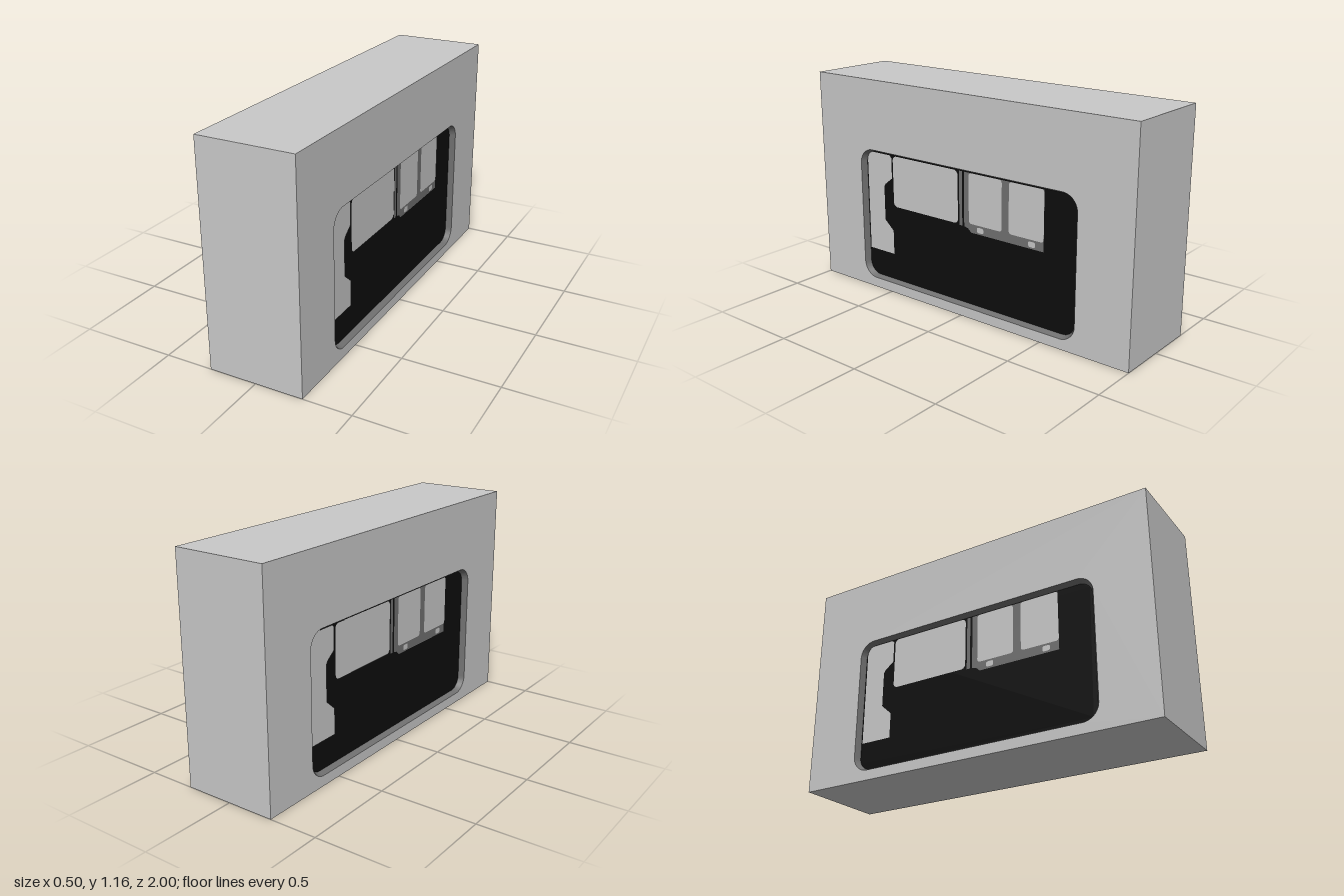
import * as THREE from 'three';
import { toCreasedNormals } from 'three/addons/utils/BufferGeometryUtils.js';

const material = (name, color) => {
  const m = new THREE.MeshStandardMaterial({ color });
  m.name = name;
  return m;
};

// Rounded rectangle, counter-clockwise
function roundRect(x0, y0, x1, y1, r, Type = THREE.Shape) {
  const s = new Type();
  s.absarc(x1 - r, y0 + r, r, -Math.PI / 2, 0);
  s.absarc(x1 - r, y1 - r, r, 0, Math.PI / 2);
  s.absarc(x0 + r, y1 - r, r, Math.PI / 2, Math.PI);
  s.absarc(x0 + r, y0 + r, r, Math.PI, Math.PI * 1.5);
  s.closePath();
  return s;
}

const polygon = (pts) => new THREE.Shape(pts.map(([x, y]) => new THREE.Vector2(x, y)));

// Band of quads joining two matching outlines at depths za and zb
function band(a, za, b, zb) {
  const pos = [];
  for (let i = 0; i < a.length; i++) {
    const j = (i + 1) % a.length;
    const p = [a[i].x, a[i].y, za], q = [a[j].x, a[j].y, za];
    const r = [b[j].x, b[j].y, zb], s = [b[i].x, b[i].y, zb];
    pos.push(...p, ...q, ...r, ...p, ...r, ...s);
  }
  const g = new THREE.BufferGeometry();
  g.setAttribute('position', new THREE.Float32BufferAttribute(pos, 3));
  g.computeVertexNormals();
  return toCreasedNormals(g, 0.6);
}

export function createModel() {
  const bodyGrey = material('light grey', 0xc8c8c8);
  const trimGrey = material('mid grey', 0x707070);
  const black = material('black', 0x0d0d0d);

  const W = 0.25, H = 1.165, FLOOR = 0.22;
  const model = new THREE.Group();
  model.name = 'panelledBlock';

  const add = (parent, name, geometry, mat, z = 0) => {
    const mesh = new THREE.Mesh(geometry, mat);
    mesh.name = name;
    mesh.position.z = z;
    parent.add(mesh);
  };
  const flat = (shape) => new THREE.ShapeGeometry(shape, 8);

  // Ends, top and bottom of the block
  const corners = [[-1, 0], [1, 0], [1, H], [-1, H]];
  const outline = corners.map(([x, y]) => new THREE.Vector2(x, y));
  const shell = new THREE.Group();
  shell.name = 'blockShell';
  shell.rotation.y = Math.PI / 2;
  add(shell, 'shell', band(outline, -W, outline, W), bodyGrey);
  model.add(shell);

  // Recess outlines: mouth and slightly smaller floor
  const mouth = [-0.7, 0.054, 0.7, 0.786, 0.085];
  const base = [-0.683, 0.066, 0.683, 0.772, 0.07];
  const ring = (r) => roundRect(...r).getPoints(8).filter((p, i, all) => i === 0 || p.distanceTo(all[i - 1]) > 1e-6);
  const loop = (r) => {
    const pts = ring(r);
    if (pts[0].distanceTo(pts[pts.length - 1]) < 1e-6) pts.pop();
    return pts;
  };

  for (const side of [1, -1]) {
    const g = new THREE.Group();
    g.name = side > 0 ? 'leftSide' : 'rightSide';
    g.rotation.y = side * Math.PI / 2;

    const face = polygon(corners);
    face.holes.push(roundRect(...mouth, THREE.Path));
    add(g, 'sideFace', flat(face), bodyGrey, W);
    add(g, 'recessRim', band(loop(mouth), W, loop(base), FLOOR), trimGrey);
    add(g, 'recessFloor', flat(roundRect(...base)), black, FLOOR);

    // Grey divider and window frame
    add(g, 'divider', flat(polygon([[-0.027, 0.482], [-0.008, 0.482], [-0.008, 0.768], [-0.027, 0.768]])), trimGrey, FLOOR + 0.002);
    add(g, 'windowFrame', flat(polygon([[0.005, 0.482], [0.03, 0.476], [0.05, 0.457], [0.497, 0.457],
      [0.497, 0.768], [0.005, 0.768]])), trimGrey, FLOOR + 0.002);

    // Light panels: notched strip, wide window, two small windows
    add(g, 'notchedPanel', flat(polygon([[-0.674, 0.214], [-0.497, 0.214], [-0.497, 0.348], [-0.556, 0.4],
      [-0.556, 0.588], [-0.545, 0.605], [-0.497, 0.642], [-0.497, 0.755], [-0.51, 0.768],
      [-0.655, 0.768], [-0.674, 0.735]])), bodyGrey, FLOOR + 0.004);
    add(g, 'wideWindow', flat(roundRect(-0.487, 0.488, -0.035, 0.768, 0.025)), bodyGrey, FLOOR + 0.004);
    for (const x of [0.037, 0.289]) {
      add(g, 'smallWindow', flat(roundRect(x, 0.504, x + 0.209, 0.768, 0.016)), bodyGrey, FLOOR + 0.004);
    }
    for (const x of [0.11, 0.428]) {
      add(g, 'latch', flat(roundRect(x - 0.021, 0.466, x + 0.021, 0.494, 0.01)), bodyGrey, FLOOR + 0.004);
    }
    model.add(g);
  }
  return model;
}
